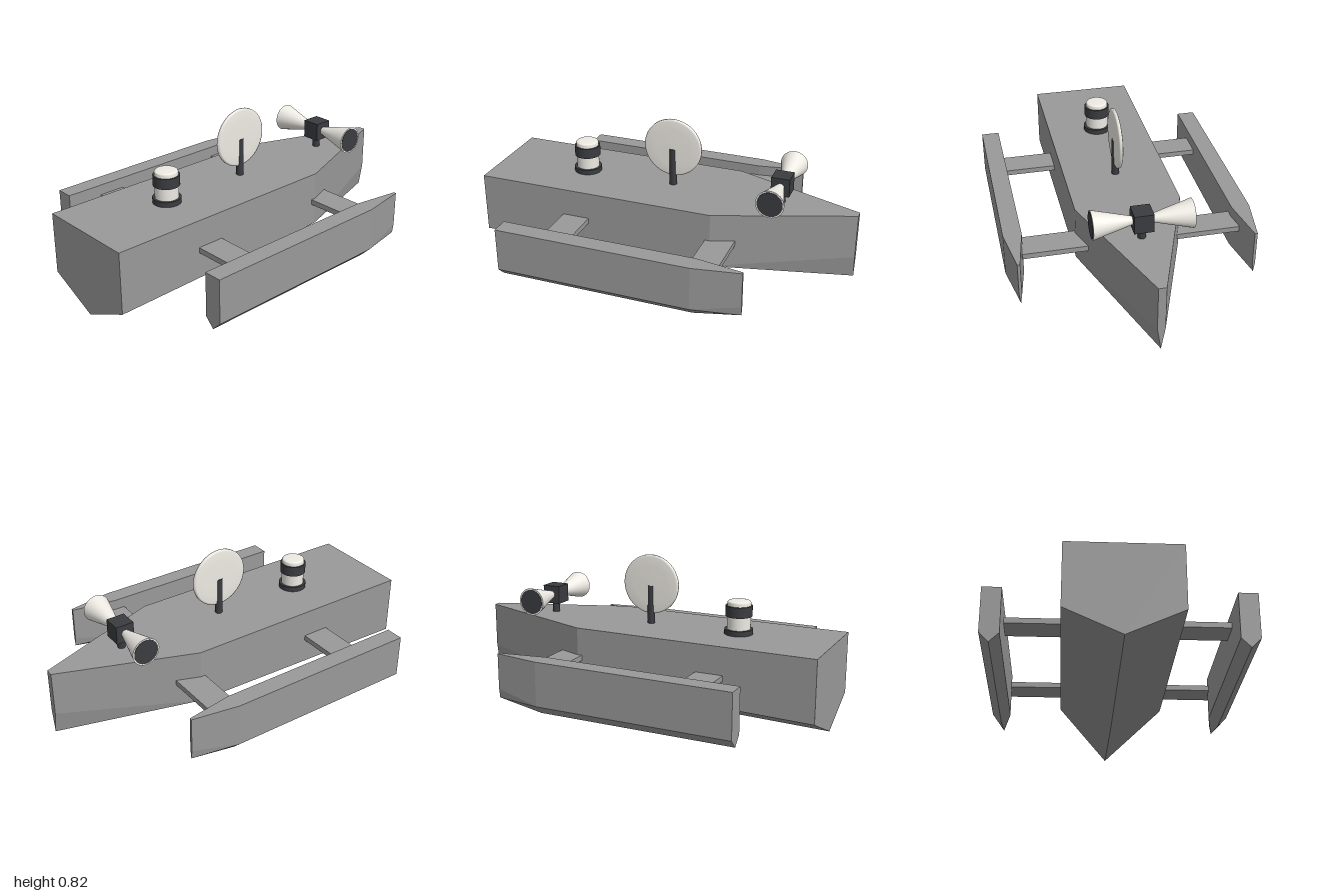
import * as THREE from 'three';

const mat = (color, extra = {}) => new THREE.MeshStandardMaterial({ color, ...extra });

// Lofts a V-bottomed hull from stations [x, halfWidth, topY, chineY, keelY], stern to bow
function hullGeometry(stations) {
  const rings = stations.map(([x, w, top, chine, keel]) => [
    [x, top, w], [x, chine, w], [x, keel, 0], [x, chine, -w], [x, top, -w],
  ]);
  const pos = [];
  const tri = (...corners) => corners.forEach((p) => pos.push(...p));
  for (let i = 0; i < rings.length - 1; i++) {
    for (let j = 0; j < 5; j++) {
      const k = (j + 1) % 5;
      const a = rings[i][j], b = rings[i][k], c = rings[i + 1][k], d = rings[i + 1][j];
      // mirrored diagonals keep both sides of the bow symmetric
      if (j < 2) { tri(a, b, c); tri(a, c, d); }
      else { tri(a, b, d); tri(b, c, d); }
    }
  }
  // stern and bow ends
  const stern = rings[0], bow = rings[rings.length - 1];
  for (let j = 1; j < 4; j++) {
    tri(stern[0], stern[j + 1], stern[j]);
    tri(bow[0], bow[j], bow[j + 1]);
  }
  const geo = new THREE.BufferGeometry();
  geo.setAttribute('position', new THREE.Float32BufferAttribute(pos, 3));
  geo.computeVertexNormals();
  return geo;
}

export function createModel() {
  const model = new THREE.Group();
  model.name = 'trimaran';
  const grey = mat(0x999999, { flatShading: true });
  const cream = mat(0xeeebe4);
  const dark = mat(0x3a3c40);

  const add = (name, geo, material, x = 0, y = 0, z = 0, parent = model) => {
    const mesh = new THREE.Mesh(geo, material);
    mesh.name = name;
    mesh.position.set(x, y, z);
    parent.add(mesh);
    return mesh;
  };
  const cyl = (r, h, rTop = r) => new THREE.CylinderGeometry(rTop, r, h, 32);

  // Main hull
  add('mainHull', hullGeometry([
    [-1, 0.275, 0.456, 0.13, 0.004],
    [0.3, 0.275, 0.456, 0.16, 0.035],
    [1, 0.02, 0.456, 0.218, 0.095],
  ]), grey);

  // Outriggers and their crossbeams on both sides
  const outrigger = hullGeometry([
    [-0.725, 0.048, 0.367, 0.133, 0.085],
    [0.325, 0.048, 0.367, 0.133, 0.085],
    [0.575, 0.007, 0.367, 0.18, 0.13],
  ]);
  for (const side of [1, -1]) {
    add('outrigger', outrigger, grey, 0, 0, side * 0.6);
    for (const x of [-0.452, 0.348]) {
      add('crossbeam', new THREE.BoxGeometry(0.147, 0.029, 0.335), grey, x, 0.295, side * 0.3975);
    }
  }

  // Lamp
  const lamp = new THREE.Group();
  lamp.name = 'lamp';
  lamp.position.set(-0.5, 0, 0);
  model.add(lamp);
  add('lampBase', cyl(0.074, 0.028), dark, 0, 0.469, 0, lamp);
  add('lampBody', cyl(0.061, 0.075), cream, 0, 0.517, 0, lamp);
  add('lampBand', cyl(0.069, 0.056), dark, 0, 0.578, 0, lamp);
  const dome = [[0.061, 0.6], [0.061, 0.622], [0.057, 0.628], [0.045, 0.631], [0, 0.632]];
  add('lampCap', new THREE.LatheGeometry(dome.map(([r, y]) => new THREE.Vector2(r, y)), 32), cream, 0, 0, 0, lamp);

  // Radar dish on its post
  const dishProfile = [[0, -0.013], [0.1, -0.012], [0.148, -0.01], [0.158, -0.006],
    [0.158, 0.006], [0.148, 0.01], [0.1, 0.012], [0, 0.013]];
  const dish = add('dish', new THREE.LatheGeometry(
    dishProfile.map(([r, y]) => new THREE.Vector2(r, y)), 48), cream, 0, 0.668, 0);
  dish.rotation.x = Math.PI / 2;
  add('dishPost', cyl(0.02, 0.205), dark, 0, 0.5575, 0);

  // Twin horns
  const horns = new THREE.Group();
  horns.name = 'horns';
  horns.position.set(0.597, 0.56, 0);
  model.add(horns);
  add('hornPost', cyl(0.02, 0.06), dark, 0, -0.078, 0, horns);
  add('hornBox', new THREE.BoxGeometry(0.098, 0.098, 0.098), dark, 0, 0, 0, horns);
  for (const side of [1, -1]) {
    const horn = add('horn', cyl(0.02, 0.205, 0.074), cream, 0, 0, side * 0.147, horns);
    horn.rotation.x = side * Math.PI / 2;
    const mouth = add('hornMouth', cyl(0.066, 0.004), dark, 0, 0, side * 0.2495, horns);
    mouth.rotation.x = Math.PI / 2;
  }
  return model;
}
